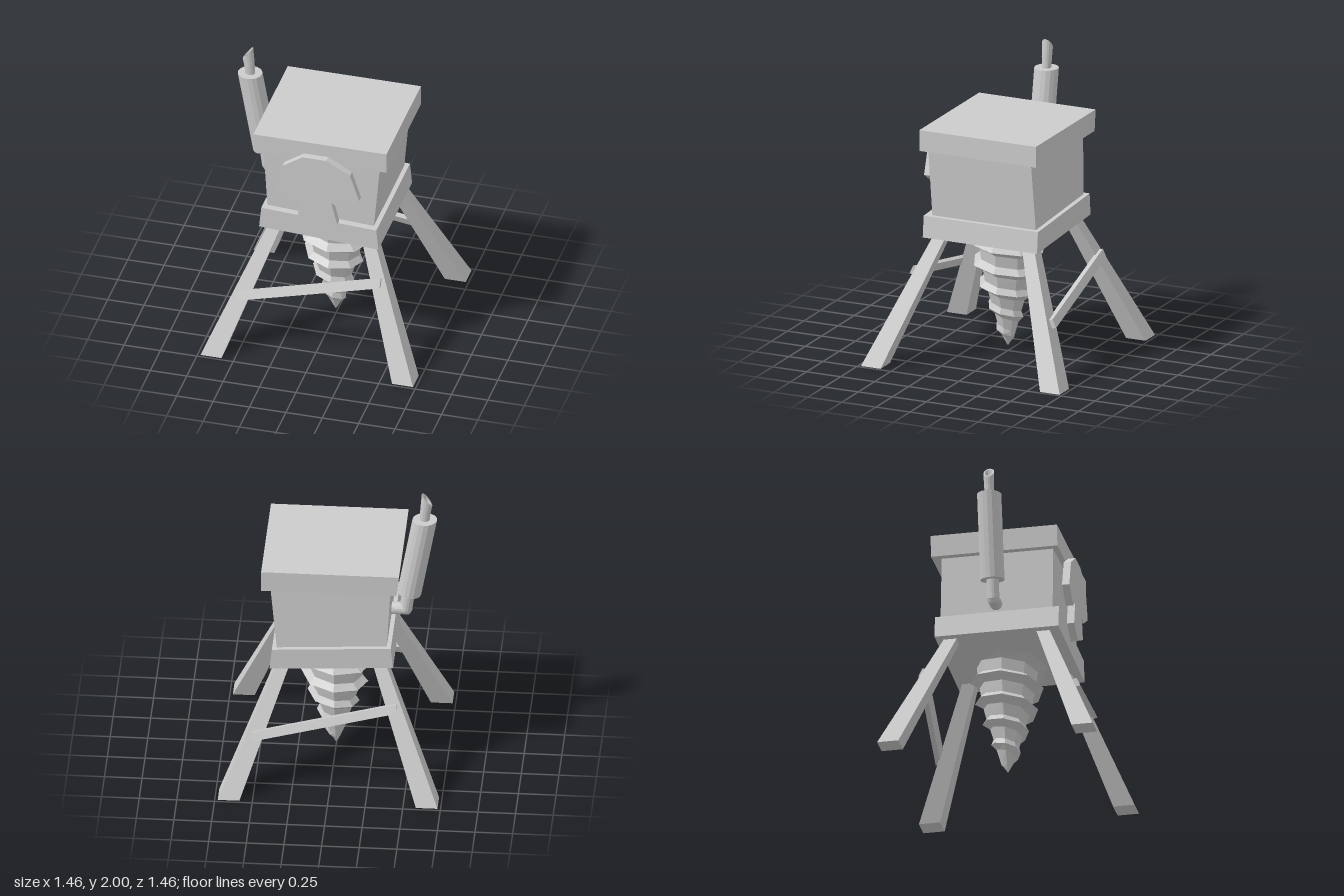
import * as THREE from 'three';

const material = new THREE.MeshStandardMaterial({ color: 0xcccccc, flatShading: true });
const twoSided = new THREE.MeshStandardMaterial({ color: 0xcccccc, flatShading: true, side: THREE.DoubleSide });

function makeMesh(name, geometry, mat = material) {
  const mesh = new THREE.Mesh(geometry, mat);
  mesh.name = name;
  return mesh;
}

// Box whose corners are placed by a rule; sx, sy, sz are -1 or 1
function warpedBox(name, rule) {
  const geometry = new THREE.BoxGeometry(2, 2, 2);
  const p = geometry.attributes.position;
  for (let i = 0; i < p.count; i++) {
    p.setXYZ(i, ...rule(Math.sign(p.getX(i)), Math.sign(p.getY(i)), Math.sign(p.getZ(i))));
  }
  geometry.computeVertexNormals();
  return makeMesh(name, geometry);
}

// Surface through rows of points
function grid(rows, cols, point) {
  const positions = [], index = [];
  for (let i = 0; i <= rows; i++) for (let j = 0; j <= cols; j++) positions.push(...point(i, j));
  for (let i = 0; i < rows; i++) for (let j = 0; j < cols; j++) {
    const a = i * (cols + 1) + j, b = a + 1, c = a + cols + 1, d = c + 1;
    index.push(a, c, b, b, c, d);
  }
  const geometry = new THREE.BufferGeometry();
  geometry.setAttribute('position', new THREE.Float32BufferAttribute(positions, 3));
  geometry.setIndex(index);
  geometry.computeVertexNormals();
  return geometry;
}

// Tube through rings [x, y, ux, uy, rz]: centre, in-plane half axis, half width in z
function loft(name, rings, sides = 16) {
  return makeMesh(name, grid(rings.length - 1, sides, (i, j) => {
    const [x, y, ux, uy, rz] = rings[i], a = (j / sides) * Math.PI * 2;
    return [x + ux * Math.cos(a), y + uy * Math.cos(a), rz * Math.sin(a)];
  }), twoSided);
}

// Linear interpolation through [x, y] stops in rising x
function ramp(stops, x) {
  for (let i = 1; i < stops.length; i++) {
    const [x0, y0] = stops[i - 1], [x1, y1] = stops[i];
    if (x <= x1) return y0 + ((y1 - y0) * (x - x0)) / (x1 - x0);
  }
  return stops[stops.length - 1][1];
}

// Faceted cone with a pointed helical thread
function createDrill() {
  const drill = new THREE.Group();
  drill.name = 'drill';
  const pitch = 0.154, sides = 8, top = 0.82, tip = 0.035;
  const radius = [[tip, 0], [0.14, 0.075], [0.31, 0.135], [0.48, 0.205], [0.62, 0.24], [top, 0.275]];
  const profile = [[0.25, 0.77], [0, 1], [-0.25, 0.77], [-0.75, 0.77]]; // pitch offset, radius factor
  const thread = grid(3, 60, (i, j) => {
    const step = j - 14, angle = Math.PI / 2 + (step / sides) * Math.PI * 2;
    const [offset, factor] = profile[i];
    const y = THREE.MathUtils.clamp(0.75 - (step / sides) * pitch + offset * pitch, tip, top);
    const r = ramp(radius, y) * factor;
    return [r * Math.sin(angle), y, r * Math.cos(angle)];
  });
  const cap = new THREE.CircleGeometry(0.23, sides).rotateX(-Math.PI / 2).translate(0, top, 0);
  const shaft = new THREE.CylinderGeometry(0.062, 0.062, 0.12, 8).translate(0, 0.86, 0);
  drill.add(makeMesh('drillThread', thread, twoSided), makeMesh('drillCap', cap), makeMesh('drillShaft', shaft));
  return drill;
}

function createExhaust() {
  const exhaust = new THREE.Group();
  exhaust.name = 'exhaust';
  exhaust.add(
    loft('exhaustElbow', [
      [-0.34, 1.1, 0, 0.042, 0.042], [-0.44, 1.1, 0, 0.042, 0.042], [-0.46, 1.102, 0.028, 0.045, 0.042],
      [-0.466, 1.115, 0.04, 0.03, 0.042], [-0.47, 1.14, 0.042, 0.008, 0.042], [-0.485, 1.24, 0.042, 0.006, 0.042],
    ]),
    loft('muffler', [
      [-0.487, 1.225, 0, 0, 0], [-0.487, 1.225, 0.079, 0.013, 0.082],
      [-0.59, 1.8, 0.082, 0, 0.082], [-0.59, 1.8, 0, 0, 0],
    ]),
    // Slanted hollow outlet
    loft('exhaustTip', [
      [-0.588, 1.78, 0.032, 0, 0.03], [-0.595, 1.87, 0.035, 0.01, 0.034], [-0.605, 1.955, 0.035, 0.045, 0.036],
      [-0.605, 1.955, 0.025, 0.034, 0.026], [-0.592, 1.84, 0.023, 0.006, 0.023], [-0.592, 1.84, 0, 0, 0],
    ]),
  );
  return exhaust;
}

// Cross brace leaning against the sloped outer faces of two legs
function createBrace(name) {
  return warpedBox(name, (sx, sy, sz) => {
    const right = sx > 0;
    const x = right ? 0.44 : -0.515;
    const y = (right ? 0.615 : 0.408) + sy * 0.028 + sz * 0.005;
    const z = (right ? 0.481 : 0.57) - sy * 0.013 + sz * 0.018;
    return [x, y, z];
  });
}

export function createModel() {
  const model = new THREE.Group();
  model.name = 'drillingRig';

  // Slightly crooked housing
  model.add(
    warpedBox('lid', (sx, sy, sz) => [
      sx > 0 ? 0.465 : sy > 0 ? -0.45 : -0.434, sy > 0 ? 1.605 : 1.46, sz * 0.428]),
    warpedBox('body', (sx, sy, sz) => [
      sy > 0 ? 0.01 + sx * 0.4 : sx * 0.363, sy > 0 ? 1.47 : 0.97,
      sy > 0 ? (sz > 0 ? 0.39 : -0.365) : sz * 0.38]),
    warpedBox('base', (sx, sy, sz) => [
      sy > 0 ? sx * 0.395 : sx * 0.41,
      sy > 0 ? (sx > 0 ? 0.99 : 1.035) : (sx > 0 ? 0.843 : 0.885),
      sz > 0 ? 0.43 : -0.41]),
  );

  // Splayed legs, wider at the foot
  for (const qx of [-1, 1]) for (const qz of [-1, 1]) {
    model.add(warpedBox(`${qz > 0 ? 'front' : 'back'}${qx > 0 ? 'Left' : 'Right'}Leg`, (sx, sy, sz) => {
      const c = sy > 0 ? 0.3 : 0.658, h = sy > 0 ? 0.043 : 0.072;
      return [qx * c + sx * h, sy > 0 ? 0.92 : 0, qz * c + sz * h];
    }));
  }

  // Braces, the back one turned half around
  const backBrace = createBrace('backBrace');
  backBrace.rotation.y = Math.PI;
  model.add(createBrace('frontBrace'), backBrace);

  // Cut-out plate on the front
  const outline = [
    [-0.1, 1.515], [-0.235, 1.425], [-0.29, 1.237], [-0.164, 1.14], [-0.106, 1.187], [-0.138, 1.024],
    [-0.022, 0.945], [0.14, 1.024], [0.1, 1.187], [0.164, 1.157], [0.29, 1.237], [0.228, 1.425], [0.064, 1.515],
  ].map(([x, y]) => new THREE.Vector2(x, y));
  const plate = new THREE.ExtrudeGeometry(new THREE.Shape(outline), { depth: 0.05, bevelEnabled: false });
  model.add(makeMesh('frontPlate', plate.translate(0, 0, 0.428)));

  model.add(createDrill(), createExhaust());
  return model;
}
